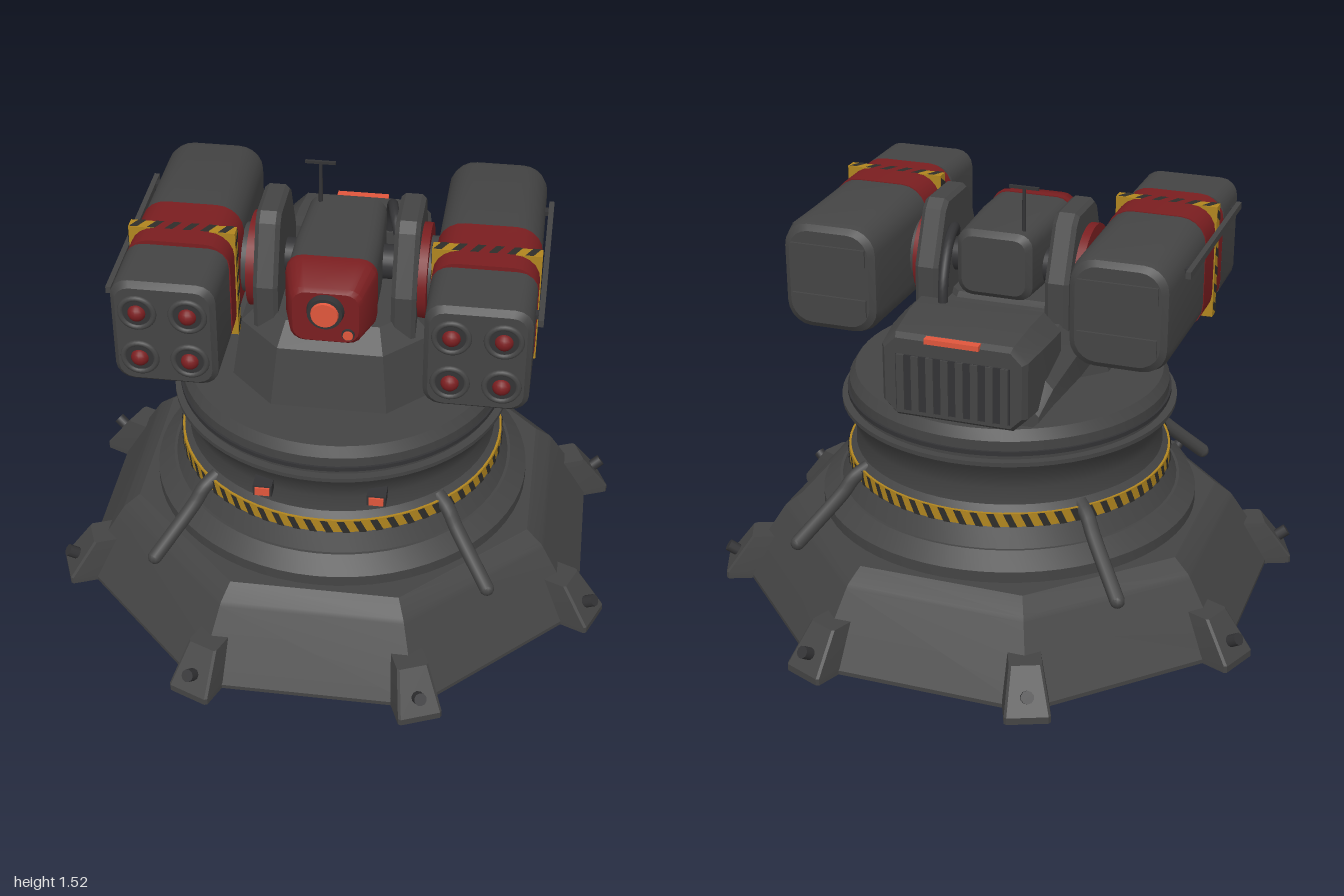
import * as THREE from 'three';
import { toCreasedNormals } from 'three/addons/utils/BufferGeometryUtils.js';

const mat = (name, color, side = THREE.FrontSide) =>
  Object.assign(new THREE.MeshStandardMaterial({ color, side }), { name });

export function createModel() {
  const grey = mat('gunmetal', 0x444444);
  const dark = mat('dark steel', 0x333335);
  const red = mat('dark red', 0x7a1e20);
  const yellow = mat('hazard yellow', 0xb0851f);
  const black = mat('hazard black', 0x2e2d2a, THREE.DoubleSide);
  const lens = mat('glowing lens', 0xe0563c);
  const model = new THREE.Group();
  model.name = 'turret';

  const add = (parent, name, geo, material, x = 0, y = 0, z = 0) => {
    const m = new THREE.Mesh(geo, material);
    m.name = name;
    m.position.set(x, y, z);
    parent.add(m);
    return m;
  };
  const box = (w, h, d) => new THREE.BoxGeometry(w, h, d);
  const cylX = (r, len, n = 24) => new THREE.CylinderGeometry(r, r, len, n).rotateZ(Math.PI / 2);
  const cylZ = (r, len, n = 24, r2 = r) => new THREE.CylinderGeometry(r2, r, len, n).rotateX(Math.PI / 2);
  const lathe = (pts, n, start = 0) => toCreasedNormals(
    new THREE.LatheGeometry(pts.map(p => new THREE.Vector2(...p)), n, start), 0.4);
  const tube = (pts, r) => new THREE.TubeGeometry(
    new THREE.CatmullRomCurve3(pts.map(p => new THREE.Vector3(...p)), false, 'centripetal'), 20, r, 10);

  // Loft through rounded rectangles; section = [level, halfU, halfV, corner, centreU, centreV]
  const loft = (axis, sections, n = 1) => {
    const pos = [], idx = [], count = 4 * (n + 1);
    const put = (u, v, l) => axis === 'z' ? pos.push(u, v, l) : pos.push(u, l, -v);
    for (const [l, hu, hv, c, cu = 0, cv = 0] of sections) {
      for (let q = 0; q < 4; q++) for (let k = 0; k <= n; k++) {
        const a = (q + k / n) * Math.PI / 2;
        const su = q === 0 || q === 3 ? 1 : -1, sv = q < 2 ? 1 : -1;
        put(cu + su * (hu - c) + c * Math.cos(a), cv + sv * (hv - c) + c * Math.sin(a), l);
      }
    }
    const last = sections.length - 1;
    for (let s = 0; s < last; s++) for (let i = 0; i < count; i++) {
      const a = s * count + i, b = s * count + (i + 1) % count;
      idx.push(a, b, b + count, a, b + count, a + count);
    }
    for (let i = 1; i < count - 1; i++) {
      const t = last * count;
      idx.push(0, i + 1, i, t, t + i, t + i + 1);
    }
    const g = new THREE.BufferGeometry();
    g.setAttribute('position', new THREE.Float32BufferAttribute(pos, 3));
    g.setIndex(idx);
    return toCreasedNormals(g, 0.5);
  };

  // Slanted stripes on a strip; at(u, v) maps 0..1 along and across it
  const stripes = (n, at) => {
    const pos = [];
    for (let i = 0; i < n; i++) {
      const a = at((i + 0.45) / n, 0), b = at((i + 0.9) / n, 0);
      const c = at((i + 0.5) / n, 1), d = at((i + 0.05) / n, 1);
      pos.push(...a, ...b, ...c, ...a, ...c, ...d);
    }
    const g = new THREE.BufferGeometry();
    g.setAttribute('position', new THREE.Float32BufferAttribute(pos, 3));
    g.computeVertexNormals();
    return g;
  };

  // Octagonal base
  const k = 1 / Math.cos(Math.PI / 8);
  add(model, 'base', lathe([[0, 0], [0.91, 0], [0.91, 0.015], [0.77, 0.25], [0.76, 0.265], [0.705, 0.31], [0, 0.31]]
    .map(([r, y]) => [r * k, y]), 8, Math.PI / 8), grey);

  // Anchor feet on the corners
  for (let i = 0; i < 8; i++) {
    const foot = new THREE.Group();
    foot.name = 'foot';
    foot.rotation.y = Math.PI / 8 + i * Math.PI / 4;
    add(foot, 'footBlock', loft('y', [[0, 0.077, 0.1, 0.008, 0, -0.95], [0.025, 0.077, 0.1, 0.008, 0, -0.95],
      [0.16, 0.055, 0.055, 0.008, 0, -0.895]]), grey);
    add(foot, 'footBolt', cylZ(0.022, 0.07, 10), dark, 0, 0.08, 1.015).rotation.x = -0.6;
    model.add(foot);
  }

  // Round turntable
  add(model, 'turntable', lathe([[0, 0.3], [0.68, 0.3], [0.68, 0.35], [0.62, 0.4], [0.61, 0.4], [0.575, 0.47],
    [0.575, 0.52], [0.555, 0.54], [0.55, 0.6], [0.565, 0.65], [0.59, 0.69], [0.6, 0.705], [0.6, 0.72], [0.572, 0.72],
    [0.572, 0.785], [0.55, 0.82], [0, 0.82]], 64), grey);
  add(model, 'turntableGroove', lathe([[0.572, 0.735], [0.58, 0.735], [0.58, 0.75], [0.572, 0.75]], 64), dark);
  add(model, 'hazardBand', lathe([[0.56, 0.47], [0.583, 0.47], [0.583, 0.52], [0.56, 0.52]], 64), yellow);
  add(model, 'hazardBandStripes', stripes(64, (u, v) => {
    const a = u * Math.PI * 2;
    return [0.587 * Math.sin(a), 0.47 + 0.05 * v, 0.587 * Math.cos(a)];
  }), black);

  for (const sx of [1, -1]) {
    // Bent struts on the diagonals
    for (const sz of [1, -1]) {
      add(model, 'strut', tube([[0.39, 0.52, 0.39], [0.43, 0.49, 0.43], [0.46, 0.44, 0.46], [0.585, 0.28, 0.585]]
        .map(([x, y, z]) => [x * sx, y, z * sz]), 0.026), grey);
      add(model, 'strutEnd', new THREE.SphereGeometry(0.026, 10, 8), grey, 0.585 * sx, 0.28, 0.585 * sz);
    }
    // Front marker lamps
    add(model, 'lampHousing', box(0.065, 0.042, 0.06), dark, 0.195 * sx, 0.62, 0.545);
    add(model, 'lamp', box(0.05, 0.03, 0.008), lens, 0.195 * sx, 0.62, 0.578);
  }

  // Pedestal and rear housing
  add(model, 'pedestal', loft('y', [[0.815, 0.36, 0.24, 0.16, 0, -0.11], [1.03, 0.33, 0.21, 0.15, 0, -0.1],
    [1.1, 0.26, 0.16, 0.1, 0, -0.08]]), grey);
  add(model, 'rearHousing', loft('z', [[-0.48, 0.27, 0.03, 0.02, 0, 0.85], [-0.42, 0.3, 0.09, 0.06, 0, 0.91],
    [-0.2, 0.33, 0.13, 0.08, 0, 0.95], [0.05, 0.33, 0.13, 0.08, 0, 0.95]]), grey);
  add(model, 'engineBox', loft('z', [[-0.565, 0.24, 0.135, 0.04, 0, 0.98], [-0.545, 0.255, 0.15, 0.05, 0, 0.98],
    [-0.4, 0.275, 0.165, 0.06, 0, 0.985], [-0.28, 0.28, 0.165, 0.06, 0, 0.985]]), grey);
  add(model, 'grilleRecess', box(0.4, 0.2, 0.008), dark, 0, 0.96, -0.566);
  for (let i = 0; i < 8; i++) add(model, 'grilleFin', box(0.026, 0.2, 0.016), grey, -0.182 + i * 0.052, 0.96, -0.568);
  add(model, 'rearLamp', box(0.19, 0.018, 0.03), lens, 0, 1.12, -0.562);

  // Yoke arm outline: horizontal is depth, vertical is height
  const armShape = new THREE.Shape([[-0.19, 1.0], [0.2, 1.0], [0.2, 1.2], [0.12, 1.4], [0.09, 1.425], [-0.08, 1.425],
    [-0.11, 1.4], [-0.19, 1.22]].map(p => new THREE.Vector2(...p)));
  const armGeo = new THREE.ExtrudeGeometry(armShape, {
    depth: 0.055, bevelThickness: 0.015, bevelSize: 0.012, bevelSegments: 1 })
    .translate(0, 0, -0.0275).rotateY(-Math.PI / 2);

  // Missile pod, yoke arm and joint for each side
  for (const s of [1, -1]) {
    add(model, 'yokeArm', armGeo, grey, 0.235 * s, 0, 0);
    add(model, 'jointDisc', cylX(0.165, 0.03, 32), red, 0.292 * s, 1.2, 0.02);
    add(model, 'jointHub', cylX(0.12, 0.06, 32), grey, 0.315 * s, 1.2, 0.02);
    add(model, 'headAxle', cylX(0.06, 0.1), dark, 0.165 * s, 1.21, 0);

    const pod = new THREE.Group();
    pod.name = 'missilePod';
    pod.position.set(0.507 * s, 1.217, 0);
    model.add(pod);
    add(pod, 'podRear', loft('z', [[-0.4, 0.145, 0.165, 0.075], [-0.385, 0.165, 0.185, 0.085],
      [-0.35, 0.172, 0.195, 0.09], [0.06, 0.174, 0.2, 0.09]], 5), grey);
    add(pod, 'podBand', loft('z', [[0.055, 0.176, 0.203, 0.09], [0.305, 0.176, 0.203, 0.085]], 5), red);
    add(pod, 'podSeam', loft('z', [[0.3, 0.165, 0.185, 0.07], [0.32, 0.165, 0.185, 0.07]], 5), dark);
    add(pod, 'podFront', loft('z', [[0.315, 0.174, 0.195, 0.065], [0.53, 0.172, 0.193, 0.06],
      [0.55, 0.155, 0.175, 0.05]], 4), grey);

    // Square hazard collar
    add(pod, 'collar', box(0.36, 0.405, 0.044), yellow, 0, 0, 0.205);
    for (const f of [1, -1]) {
      add(pod, 'collarStripes', stripes(6, (u, v) => [(u - 0.5) * 0.36, 0.2045 * f, 0.183 + 0.044 * v]), black);
      add(pod, 'collarStripes', stripes(6, (u, v) => [0.182 * f, (u - 0.5) * 0.405, 0.183 + 0.044 * v]), black);
    }

    // Four missile tubes
    for (const x of [-0.083, 0.083]) for (const y of [-0.09, 0.085]) {
      add(pod, 'tubeRing', new THREE.TorusGeometry(0.055, 0.01, 8, 28), grey, x, y, 0.552);
      add(pod, 'tubeMouth', cylZ(0.048, 0.008), dark, x, y, 0.551);
      add(pod, 'missileTip', new THREE.SphereGeometry(0.031, 16, 10), red, x, y, 0.548);
    }
    // Rear plates, side rail and its brackets
    for (const y of [-0.09, 0.09]) add(pod, 'rearPlate', box(0.27, 0.06, 0.02), grey, 0, y, -0.398);
    add(pod, 'sideRail', box(0.018, 0.024, 0.73), grey, 0.192 * s, 0.115, 0.115);
    for (const z of [-0.2, 0.43]) add(pod, 'railBracket', box(0.03, 0.016, 0.03), dark, 0.178 * s, 0.115, z);
  }

  // Sensor head
  const head = new THREE.Group();
  head.name = 'sensorHead';
  model.add(head);
  add(head, 'headBody', loft('z', [[-0.17, 0.115, 0.1, 0.04, 0, 1.245], [-0.15, 0.135, 0.12, 0.05, 0, 1.245],
    [0.1, 0.148, 0.128, 0.055, 0, 1.243], [0.25, 0.148, 0.128, 0.055, 0, 1.24]], 4), grey);
  add(head, 'headFront', loft('z', [[0.245, 0.153, 0.132, 0.058, 0, 1.24], [0.27, 0.153, 0.132, 0.058, 0, 1.24],
    [0.385, 0.122, 0.105, 0.05, 0, 1.235], [0.4, 0.11, 0.093, 0.045, 0, 1.235]], 4), red);
  add(head, 'lensRing', cylZ(0.064, 0.03, 28, 0.058), dark, 0, 1.262, 0.408);
  add(head, 'mainLens', cylZ(0.05, 0.02, 28, 0.044), lens, 0, 1.262, 0.422);
  add(head, 'smallLensRing', cylZ(0.022, 0.014, 16), dark, 0.075, 1.175, 0.4);
  add(head, 'smallLens', cylZ(0.017, 0.02, 16), lens, 0.075, 1.175, 0.402);

  // Antenna and cable
  add(model, 'antennaMast', new THREE.CylinderGeometry(0.006, 0.008, 0.16, 8), dark, -0.09, 1.44, -0.11);
  add(model, 'antennaBar', box(0.105, 0.01, 0.01), dark, -0.09, 1.518, -0.11);
  add(model, 'cable', tube([[0.13, 1.1, -0.31], [0.135, 1.22, -0.29], [0.15, 1.32, -0.2], [0.17, 1.34, -0.09],
    [0.19, 1.3, -0.03]], 0.018), dark);
  return model;
}
